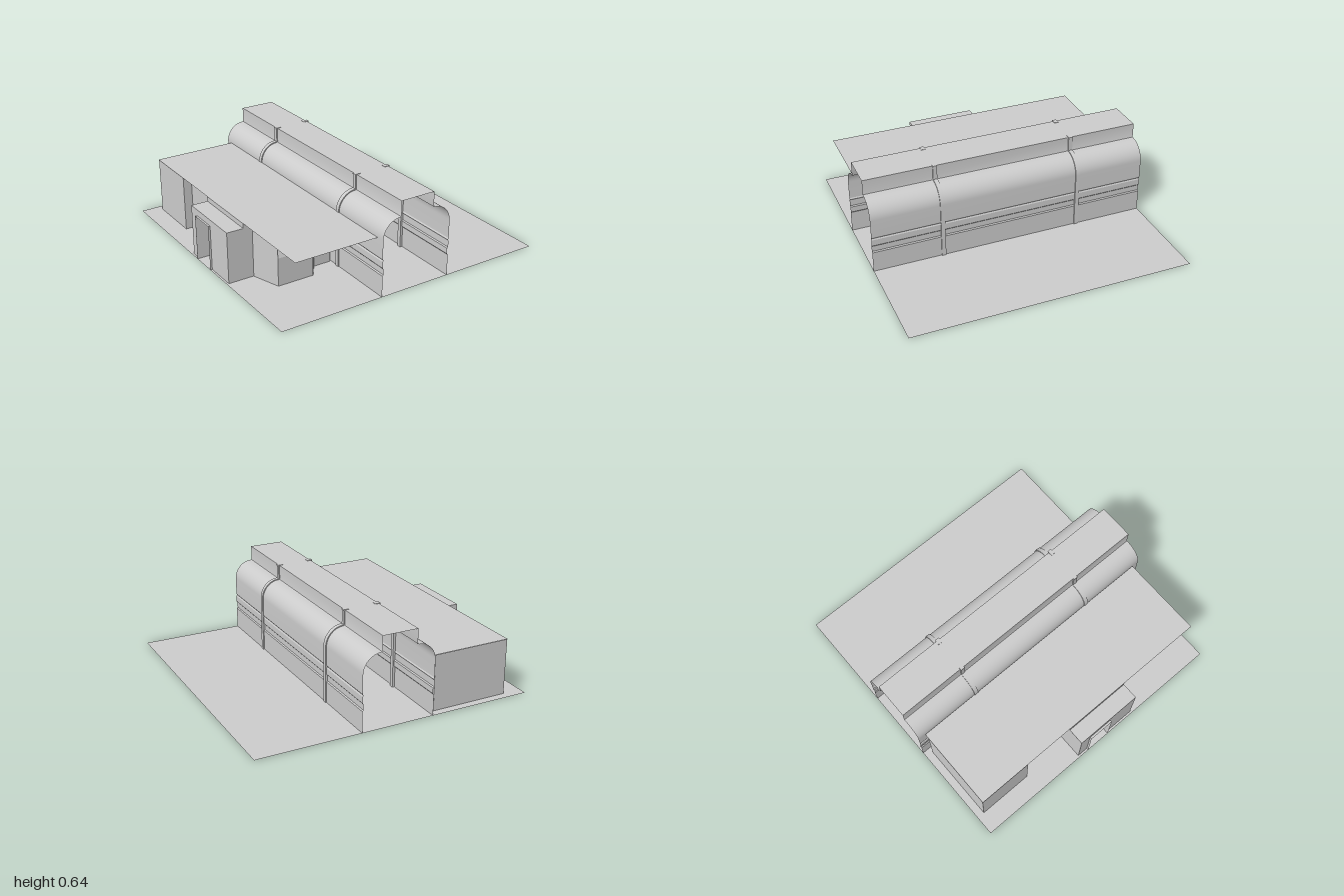
import * as THREE from 'three';
import { toCreasedNormals } from 'three/addons/utils/BufferGeometryUtils.js';

const material = new THREE.MeshStandardMaterial({ color: 0xcccccc, side: THREE.DoubleSide });

function addMesh(parent, name, geometry) {
  const mesh = new THREE.Mesh(geometry, material);
  mesh.name = name;
  parent.add(mesh);
  return mesh;
}

// Open sheet between two matching rows of points
function sheet(rowA, rowB) {
  const positions = [];
  for (let i = 0; i < rowA.length - 1; i++) {
    const [a, b, c, d] = [rowA[i], rowA[i + 1], rowB[i + 1], rowB[i]];
    positions.push(...a, ...b, ...c, ...a, ...c, ...d);
  }
  const geometry = new THREE.BufferGeometry();
  geometry.setAttribute('position', new THREE.Float32BufferAttribute(positions, 3));
  geometry.computeVertexNormals();
  return toCreasedNormals(geometry, 0.35);
}

// Upright wall over a plan path of [x, z] points
function wall(path, bottom, top) {
  return sheet(path.map(([x, z]) => [x, bottom, z]), path.map(([x, z]) => [x, top, z]));
}

function flat(x0, x1, z0, z1, y) {
  return sheet([[x0, y, z1], [x1, y, z1]], [[x0, y, z0], [x1, y, z0]]);
}

function arc(radius) {
  const points = [];
  for (let i = 0; i <= 14; i++) {
    const a = (i / 14) * Math.PI / 2;
    points.push([0.135 + radius * Math.cos(a), 0.4 + radius * Math.sin(a)]);
  }
  return points;
}

// Hall: grooved walls, quarter-round shoulders and a raised flat roof
function buildHall() {
  const hall = new THREE.Group();
  hall.name = 'hall';
  const half = [
    [0.262, 0], [0.262, 0.15], [0.255, 0.158], [0.255, 0.198], [0.262, 0.206],
    [0.262, 0.25], [0.256, 0.26], [0.262, 0.27],
    ...arc(0.127), [0.129, 0.529], [0.127, 0.535], [0.127, 0.635],
  ];
  const profile = [...half, ...half.slice().reverse().map(([x, y]) => [-x, y])];
  addMesh(hall, 'hallShell', sheet(profile.map(([x, y]) => [x, y, 1]), profile.map(([x, y]) => [x, y, -1])));

  // Ribs wrapping both faces of the shell
  const outline = [
    [0.245, 0], [0.27, 0], ...arc(0.134),
    [0.135, 0.63], [0.138, 0.63], [0.138, 0.638], [0.098, 0.638], [0.098, 0.63], [0.115, 0.63],
    [0.115, 0.525], [0.122, 0.513], ...arc(0.11).reverse(),
  ];
  const ribShape = new THREE.Shape(outline.map(([x, y]) => new THREE.Vector2(x, y)));
  const ribGeometry = toCreasedNormals(
    new THREE.ExtrudeGeometry(ribShape, { depth: 0.03, bevelEnabled: false }), 0.35);
  for (const z of [-0.5, 0.5]) {
    for (const side of [-1, 1]) {
      const rib = addMesh(hall, 'rib', ribGeometry);
      rib.scale.x = side;
      rib.position.z = z - 0.015;
    }
  }
  return hall;
}

// Low side building with recessed walls under a thin overhanging roof
function buildAnnex() {
  const annex = new THREE.Group();
  annex.name = 'annex';
  const doorBack = -0.1, doorFront = 0.085, doorTop = 0.32;
  addMesh(annex, 'annexRoof', flat(-0.865, -0.265, -0.945, 0.945, 0.4));
  addMesh(annex, 'rearWalls', wall(
    [[-0.3, 0.42], [-0.3, -0.945], [-0.862, -0.945], [-0.862, -0.55], [-0.8, -0.55], [-0.8, doorBack]], 0, 0.399));
  addMesh(annex, 'frontWalls', wall([[-0.8, doorFront], [-0.8, 0.32], [-0.735, 0.52]], 0, 0.399));
  addMesh(annex, 'cornerWalls', wall([[-0.47, 0.52], [-0.4, 0.42], [-0.27, 0.42]], 0, 0.399));
  addMesh(annex, 'lintelWall', wall([[-0.8, doorBack], [-0.8, doorFront]], doorTop, 0.399));

  // Front wall with a sloping counter band
  const section = [[0, 0.52], [0.2, 0.52], [0.305, 0.48], [0.399, 0.48]];
  addMesh(annex, 'counterWall', sheet(
    section.map(([y, z]) => [-0.735, y, z]), section.map(([y, z]) => [-0.47, y, z])));

  // Entrance porch
  const porch = new THREE.Group();
  porch.name = 'porch';
  annex.add(porch);
  const back = -0.18, front = 0.315, face = -0.985, top = 0.365;
  addMesh(porch, 'porchBackWall', wall([[-0.8, back], [face, back], [face, doorBack]], 0, top));
  addMesh(porch, 'porchFrontWall', wall([[face, doorFront], [face, front], [-0.8, front]], 0, top));
  addMesh(porch, 'porchLintel', wall([[face, doorBack], [face, doorFront]], doorTop, top));
  addMesh(porch, 'porchRoof', flat(face, -0.8, back, front, top));

  // Splayed eave joining the porch to the roof
  const eave = new THREE.Shape([[-0.865, 0.365], [-0.83, 0.365], [-0.8, 0.399], [-0.865, 0.399]]
    .map(([x, y]) => new THREE.Vector2(x, y)));
  const eaveMesh = addMesh(porch, 'eave',
    new THREE.ExtrudeGeometry(eave, { depth: front - back, bevelEnabled: false }));
  eaveMesh.position.z = back;

  // Doorway lining, standing slightly proud of the porch
  const lining = [[0, doorBack], [doorTop, doorBack], [doorTop, doorFront], [0, doorFront]];
  addMesh(porch, 'doorLining', sheet(
    lining.map(([y, z]) => [-1, y, z]), lining.map(([y, z]) => [-0.8, y, z])));
  return annex;
}

export function createModel() {
  const model = new THREE.Group();
  model.name = 'hallWithAnnex';
  addMesh(model, 'groundPlane', flat(-1, 1, -1, 1, 0));
  model.add(buildHall(), buildAnnex());
  return model;
}
